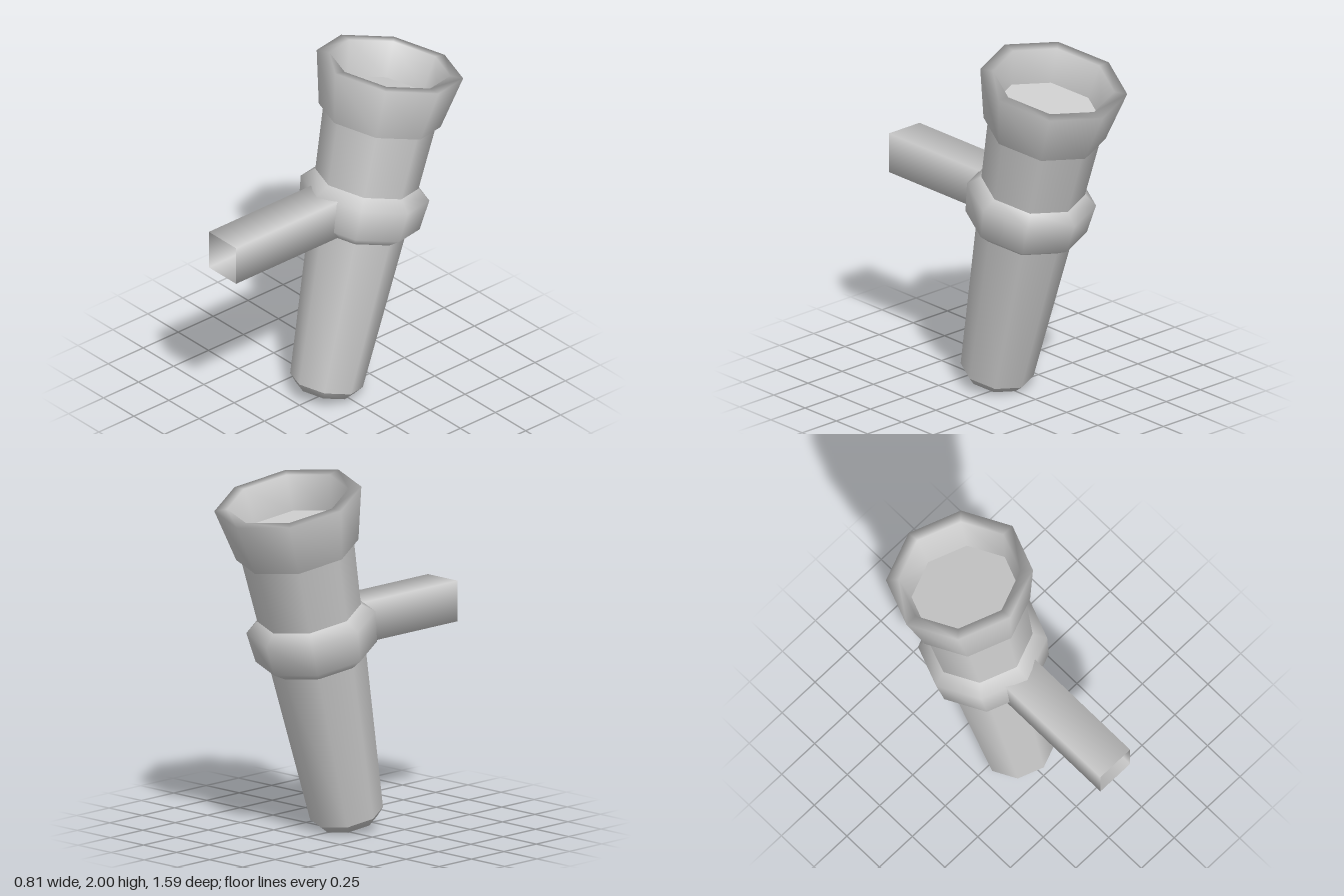
import * as THREE from 'three';

const SIDES = 8;

export function createModel() {
  const model = new THREE.Group();
  model.name = 'wallTorch';
  const material = new THREE.MeshStandardMaterial({ color: 0xcccccc, side: THREE.DoubleSide });

  // Everything turned around the leaning axis lives in one tilted group
  const torch = new THREE.Group();
  torch.name = 'torch';
  torch.position.set(0, 0.0425, 0.0675);
  torch.rotation.x = THREE.MathUtils.degToRad(-14);
  model.add(torch);

  // Profiles are [radius, height] pairs along the axis
  function turned(name, profile) {
    const points = profile.map(([r, h]) => new THREE.Vector2(r, h));
    const mesh = new THREE.Mesh(new THREE.LatheGeometry(points, SIDES), material);
    mesh.name = name;
    torch.add(mesh);
  }

  // Tapered shaft with a bevelled foot
  turned('shaftFoot', [[0, 0], [0.162, 0], [0.2, 0.045]]);
  turned('shaft', [[0.2, 0.045], [0.264, 0.955], [0.284, 1.24], [0.311, 1.63]]);

  // Bulging collar around the shaft
  turned('collar', [[0.262, 0.955], [0.333, 1.008], [0.354, 1.183], [0.28, 1.242]]);

  // Flared cup with a thick rim and a recessed floor
  turned('cup', [[0.3, 1.615], [0.335, 1.615], [0.403, 1.918], [0.333, 1.918], [0.297, 1.72]]);
  turned('cupFloor', [[0.297, 1.72], [0, 1.72]]);

  // Square, open-ended bracket arm running forward from the collar
  const front = 0.8, back = 0.05, half = 0.1125;
  const armGeometry = new THREE.CylinderGeometry(
    half * Math.SQRT2, half * Math.SQRT2, front - back, 4, 1, true);
  armGeometry.rotateY(Math.PI / 4);
  armGeometry.rotateX(Math.PI / 2);
  const arm = new THREE.Mesh(armGeometry, material);
  arm.name = 'bracketArm';
  arm.position.set(0, 1.157, (front + back) / 2);
  model.add(arm);

  return model;
}
